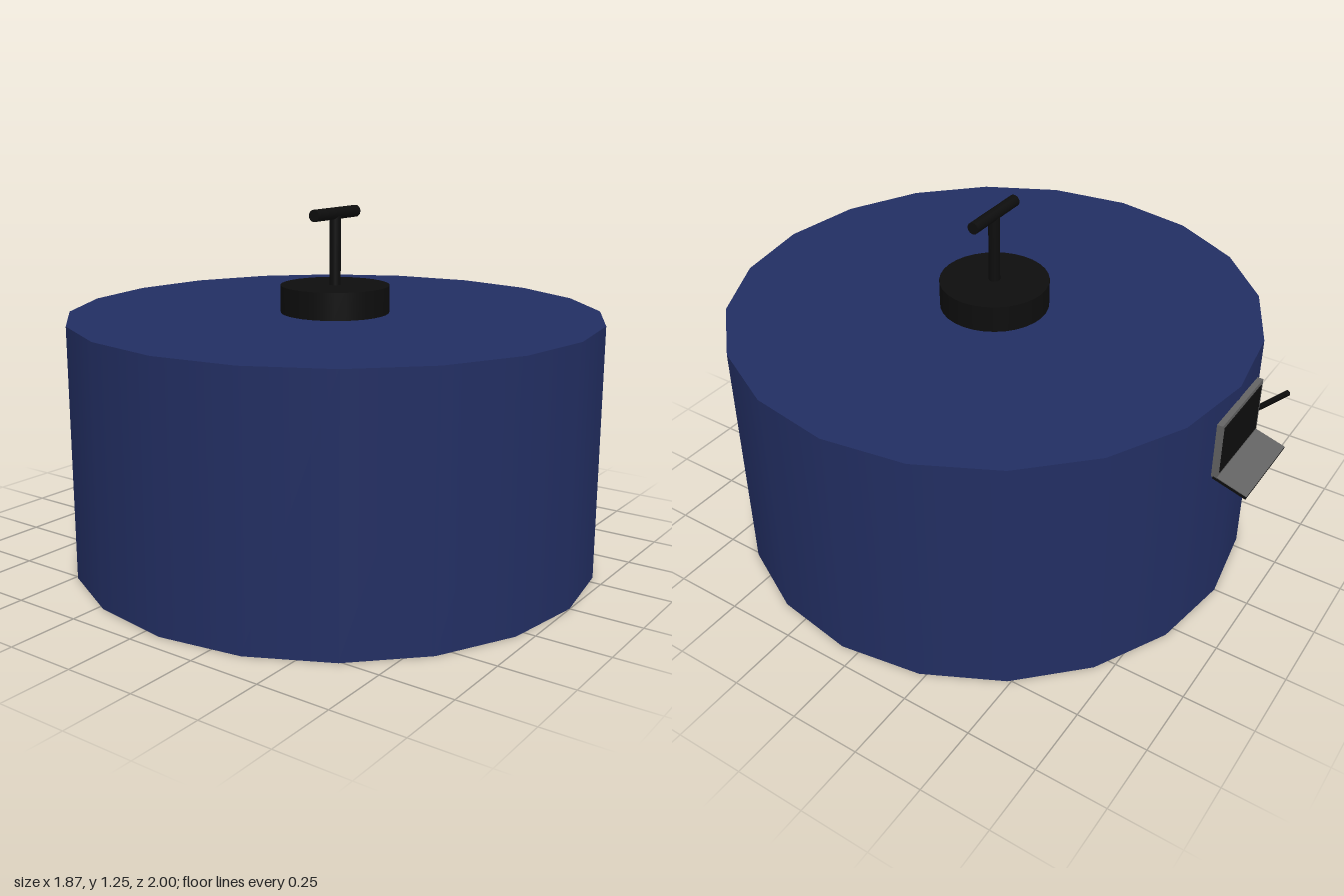
import * as THREE from 'three';

export function createModel() {
  const model = new THREE.Group();
  const material = (name, color) => {
    const m = new THREE.MeshStandardMaterial({ color });
    m.name = name;
    return m;
  };
  const navy = material('navy', 0x222e62);
  const black = material('black', 0x0d0d0d);
  const grey = material('grey', 0x636363);

  const add = (parent, name, geometry, mat, x = 0, y = 0, z = 0) => {
    const mesh = new THREE.Mesh(geometry, mat);
    mesh.name = name;
    mesh.position.set(x, y, z);
    parent.add(mesh);
    return mesh;
  };

  // Twenty-sided drum, set slightly forward
  const cz = 0.062;
  add(model, 'drum', new THREE.CylinderGeometry(0.937, 0.937, 0.885, 20), navy, 0, 0.4425, cz);

  // T-handle on top
  const handle = new THREE.Group();
  handle.name = 'topHandle';
  handle.position.z = cz;
  model.add(handle);
  add(handle, 'handleBase', new THREE.CylinderGeometry(0.192, 0.192, 0.097, 32), black, 0, 0.9325, 0);
  add(handle, 'handleStem', new THREE.CylinderGeometry(0.02, 0.02, 0.25, 20), black, 0, 1.105, 0);
  add(handle, 'handleBar', new THREE.CylinderGeometry(0.021, 0.021, 0.25, 20), black, 0, 1.23, 0)
    .rotation.z = Math.PI / 2;

  // Open screen and tilted keyboard on the back
  const console = new THREE.Group();
  console.name = 'rearConsole';
  console.position.set(0.007, 0.63, -0.885);
  model.add(console);
  add(console, 'screenFrame', new THREE.BoxGeometry(0.31, 0.205, 0.02), grey, 0, 0.1025, 0.002);
  add(console, 'screen', new THREE.BoxGeometry(0.28, 0.175, 0.004), black, 0, 0.1025, -0.009);

  const keyboard = new THREE.Group();
  keyboard.name = 'keyboard';
  keyboard.rotation.x = -0.28;
  console.add(keyboard);
  add(keyboard, 'keyboardBase', new THREE.BoxGeometry(0.31, 0.01, 0.124), black, 0, -0.003, -0.056);
  add(keyboard, 'keyboardTop', new THREE.BoxGeometry(0.308, 0.003, 0.122), grey, 0, 0.0035, -0.056);

  // Lever: upright mount on the wall and a rod slanting up and out
  const lever = new THREE.Group();
  lever.name = 'lever';
  lever.position.x = -0.21;
  model.add(lever);
  add(lever, 'leverMount', new THREE.CylinderGeometry(0.016, 0.016, 0.145, 16), black, 0, 0.603, -0.852);
  const start = new THREE.Vector3(0, 0.655, -0.852);
  const end = new THREE.Vector3(0, 0.77, -0.962);
  const dir = end.clone().sub(start);
  const mid = start.clone().add(end).multiplyScalar(0.5);
  const rod = add(lever, 'leverRod', new THREE.CylinderGeometry(0.01, 0.01, dir.length(), 16), black, 0, mid.y, mid.z);
  rod.quaternion.setFromUnitVectors(new THREE.Vector3(0, 1, 0), dir.normalize());

  // Round knob sunk into the wall
  add(model, 'knob', new THREE.SphereGeometry(0.05, 24, 16), grey, -0.425, 0.71, -0.73);

  return model;
}
